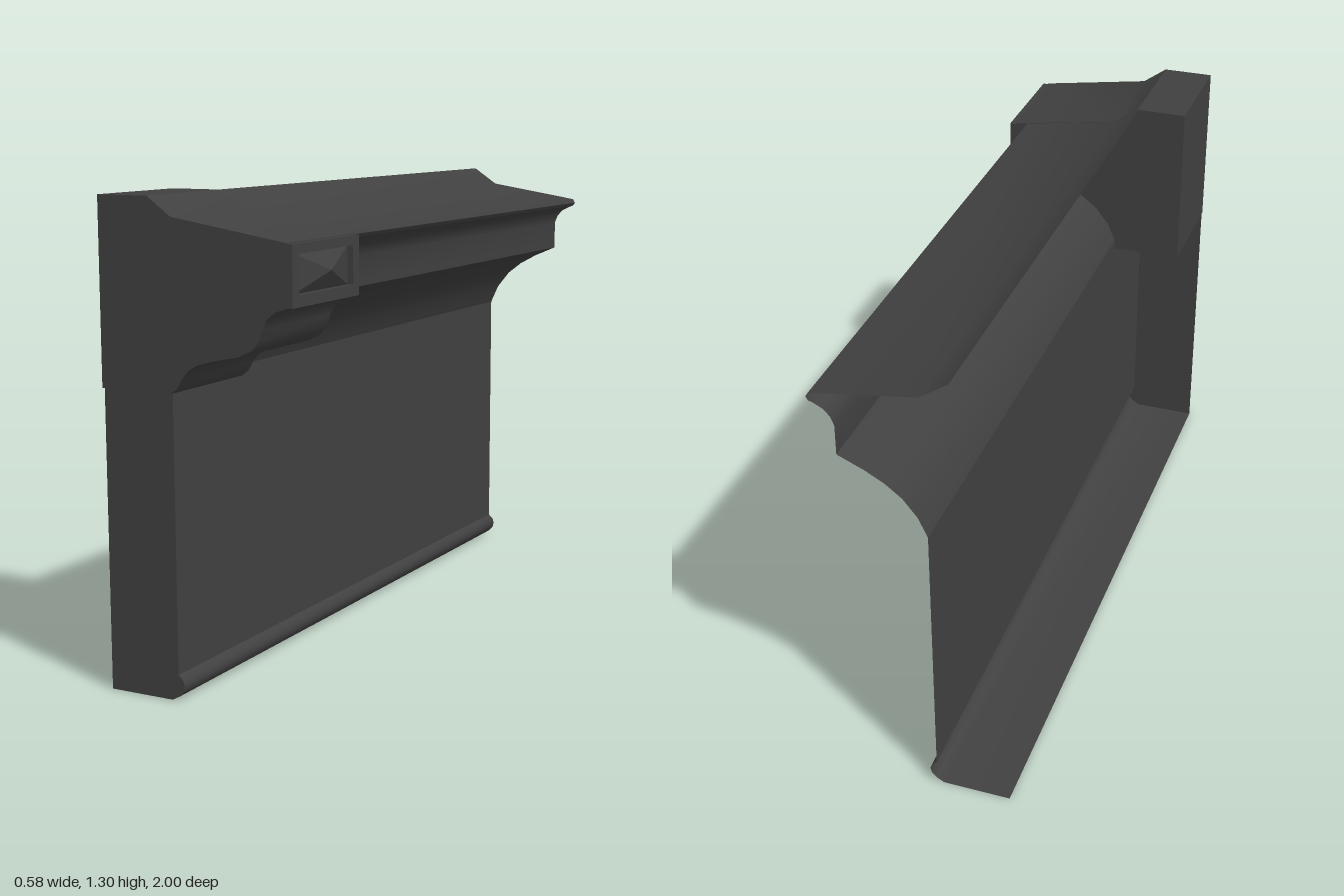
import * as THREE from 'three';
import { toCreasedNormals } from 'three/addons/utils/BufferGeometryUtils.js';

const material = new THREE.MeshStandardMaterial({ color: 0x404040, side: THREE.DoubleSide });
const CREASE = 0.6;

function addMesh(parent, name, geometry) {
  const mesh = new THREE.Mesh(geometry, material);
  mesh.name = name;
  parent.add(mesh);
  return mesh;
}

const toShape = (points) => new THREE.Shape(points.map(([x, y]) => new THREE.Vector2(x, y)));

// Open moulding: an [x, y] profile, listed bottom to top, swept along z.
function sweep(profile, z0, z1) {
  const pos = [];
  for (let i = 0; i < profile.length - 1; i++) {
    const [ax, ay] = profile[i];
    const [bx, by] = profile[i + 1];
    pos.push(ax, ay, z1, ax, ay, z0, bx, by, z0);
    pos.push(ax, ay, z1, bx, by, z0, bx, by, z1);
  }
  const g = new THREE.BufferGeometry();
  g.setAttribute('position', new THREE.Float32BufferAttribute(pos, 3));
  return toCreasedNormals(g, CREASE);
}

export function createModel() {
  const group = new THREE.Group();
  group.name = 'corniceWallSection';

  // Floor strip, rounded skirting bead and wall panel
  const wallProfile = [
    [-0.29, 0], [-0.1, 0], [-0.078, 0.012], [-0.065, 0.027], [-0.061, 0.042],
    [-0.066, 0.057], [-0.08, 0.07], [-0.08, 0.84],
  ];
  addMesh(group, 'wallPanel', sweep(wallProfile, -1, 0.99));

  // Flat wall closing the front end, under the bracket
  const endShape = toShape([...wallProfile.slice(0, -1), [-0.08, 0.82], [-0.29, 0.82]]);
  addMesh(group, 'endWall', new THREE.ShapeGeometry(endShape)).position.z = 0.99;

  // Cornice: cove, riser, small cove, nose and sloping top
  addMesh(group, 'cornice', sweep([
    [-0.08, 0.84], [-0.055, 0.895], [-0.015, 0.945], [0.03, 0.98], [0.085, 1.01], [0.155, 1.04],
    [0.155, 1.125], [0.165, 1.15], [0.182, 1.168], [0.205, 1.18],
    [0.22, 1.185], [0.227, 1.195], [0.22, 1.207],
    [-0.07, 1.254], [-0.145, 1.305],
  ], -1, 0.67));

  // Bracket block with a curved underside
  const z0 = 0.66, z1 = 1, faceX = 0.277, recessX = 0.26;
  const bracket = new THREE.Group();
  bracket.name = 'bracket';
  group.add(bracket);
  const body = new THREE.ExtrudeGeometry(toShape([
    [-0.29, 0.81], [-0.08, 0.81], [-0.06, 0.825], [-0.045, 0.85], [-0.025, 0.873], [0, 0.888],
    [0.05, 0.902], [0.125, 0.918], [0.16, 0.935], [0.182, 0.96], [0.192, 0.99], [0.205, 1.015],
    [0.23, 1.034], [recessX, 1.044], [recessX, 1.2025],
    [-0.07, 1.255], [-0.14, 1.305], [-0.29, 1.305],
  ]), { depth: z1 - z0, bevelEnabled: false });
  addMesh(bracket, 'bracketBody', toCreasedNormals(body, CREASE)).position.z = z0;

  // Raised frame around the recess; shape x runs towards -z
  const halfZ = 0.138, halfY = 0.05, midZ = 0.83, midY = 1.125;
  const frameShape = toShape([[-z1, 1.045], [-z0, 1.045], [-z0, 1.2], [-z1, 1.2]]);
  frameShape.holes.push(toShape([
    [-midZ - halfZ, midY - halfY], [-midZ - halfZ, midY + halfY],
    [-midZ + halfZ, midY + halfY], [-midZ + halfZ, midY - halfY],
  ]));
  const frame = addMesh(bracket, 'bracketFrame',
    new THREE.ExtrudeGeometry(frameShape, { depth: faceX - recessX, bevelEnabled: false }));
  frame.rotation.y = Math.PI / 2;
  frame.position.x = recessX;

  // Faceted four-sided stud in the recess
  const height = 0.031;
  const stud = new THREE.ConeGeometry(Math.SQRT2, height, 4, 1, true);
  stud.rotateY(Math.PI / 4);
  stud.rotateZ(-Math.PI / 2);
  stud.scale(1, halfY, halfZ);
  stud.translate(recessX + height / 2, midY, midZ);
  addMesh(bracket, 'bracketStud', toCreasedNormals(stud, 0.1));

  return group;
}
